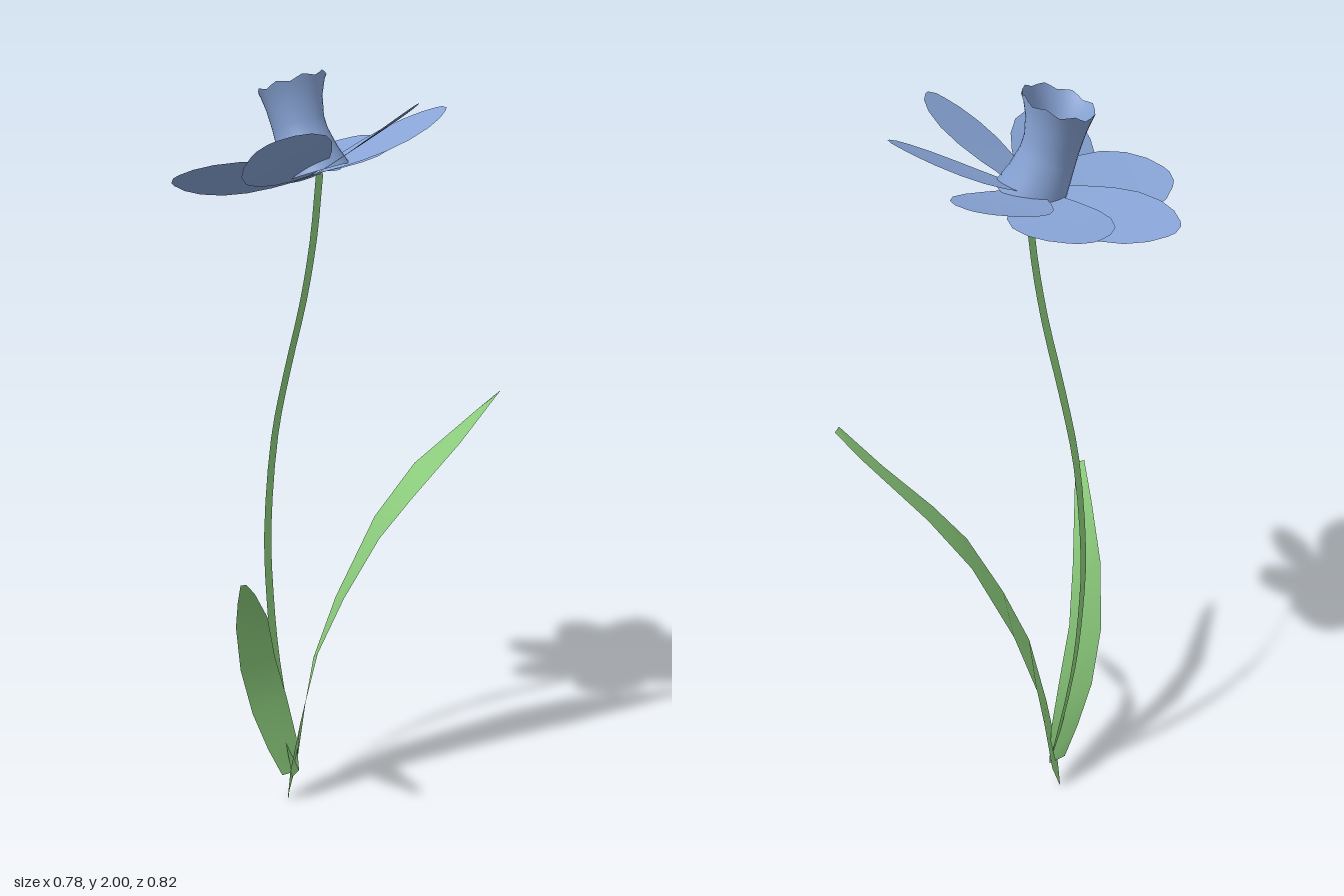
import * as THREE from 'three';

const green = new THREE.MeshStandardMaterial({ color: 0x8fd07f, side: THREE.DoubleSide });
green.name = 'leafGreen';
const blue = new THREE.MeshStandardMaterial({ color: 0x88a4d6, side: THREE.DoubleSide });
blue.name = 'petalBlue';

// Smooth sheet through rows of points, all rows the same length
function sheet(name, rows, material) {
  const cols = rows[0].length;
  const index = [];
  for (let i = 0; i < rows.length - 1; i++) {
    for (let j = 0; j < cols - 1; j++) {
      const a = i * cols + j, b = a + cols;
      index.push(a, a + 1, b, a + 1, b + 1, b);
    }
  }
  const geo = new THREE.BufferGeometry();
  geo.setAttribute('position', new THREE.Float32BufferAttribute(rows.flat(2), 3));
  geo.setIndex(index);
  geo.computeVertexNormals();
  const mesh = new THREE.Mesh(geo, material);
  mesh.name = name;
  return mesh;
}

// Ribbon between two edge lines
const ribbon = (name, a, b) => sheet(name, a.map((p, i) => [p, b[i]]), green);

// Petal along +x: [distance, half width], cupped upward and twisted so neighbours overlap
const OUTLINE = [
  [0, 0.025], [0.05, 0.055], [0.10, 0.082], [0.16, 0.105], [0.22, 0.112],
  [0.28, 0.098], [0.325, 0.07], [0.355, 0.035], [0.365, 0.015],
];
function petal(angle) {
  const rows = OUTLINE.map(([r, w]) => [1, 0.5, 0, -0.5, -1].map((s) => {
    const z = s * w;
    return [r, 0.07 * Math.pow(r / 0.365, 1.3) - z * 0.25, z];
  }));
  const mesh = sheet('petal', rows, blue);
  mesh.rotation.y = THREE.MathUtils.degToRad(angle);
  return mesh;
}

// Flared, slightly bent tube with a scalloped rim
function trumpet() {
  const h = 0.23;
  const profile = [[0.085, 0], [0.075, 0.05], [0.068, 0.1], [0.067, 0.13], [0.073, 0.18], [0.083, 0.215], [0.088, h]]
    .map(([r, y]) => new THREE.Vector2(r, y));
  const geo = new THREE.LatheGeometry(profile, 32);
  const p = geo.attributes.position;
  for (let i = 0; i < p.count; i++) {
    const x = p.getX(i), y = p.getY(i), z = p.getZ(i);
    const wave = y > 0.22 ? 0.005 * Math.cos(8 * Math.atan2(z, x)) : 0;
    p.setXYZ(i, x - 0.014 * Math.sin(Math.PI * y / h), y + wave - 0.003, z);
  }
  const mesh = new THREE.Mesh(geo, blue);
  mesh.name = 'trumpet';
  return mesh;
}

export function createModel() {
  const model = new THREE.Group();
  model.name = 'flowerPlant';

  // Stem: a flat strip following a gentle curve
  const path = new THREE.CatmullRomCurve3([
    [-0.09, 0.08, -0.047], [-0.15, 0.4, -0.054], [-0.17, 0.6, -0.057], [-0.175, 0.78, -0.057],
    [-0.15, 1.05, -0.053], [-0.11, 1.23, -0.048], [-0.06, 1.42, -0.042], [-0.03, 1.58, -0.039], [-0.012, 1.745, -0.037],
  ].map((p) => new THREE.Vector3(...p))).getPoints(24);
  const edge = (dz) => path.map((p) => [p.x, p.y, p.z + dz]);
  model.add(ribbon('stem', edge(0.022), edge(-0.022)));

  // Tall leaf leaning back
  model.add(ribbon('tallLeaf', [
    [-0.11, 0, -0.045], [-0.09, 0.1, -0.013], [-0.06, 0.25, -0.013], [-0.015, 0.46, -0.032], [0.05, 0.62, -0.06],
    [0.135, 0.79, -0.10], [0.21, 0.90, -0.147], [0.31, 1.04, -0.225], [0.39, 1.17, -0.294],
  ], [
    [-0.12, 0, -0.06], [-0.11, 0.09, -0.10], [-0.10, 0.27, -0.14], [-0.085, 0.39, -0.157], [-0.03, 0.57, -0.185],
    [0.06, 0.80, -0.247], [0.155, 0.95, -0.297], [0.32, 1.11, -0.326], [0.385, 1.17, -0.326],
  ]));

  // Short leaf leaning forward
  model.add(ribbon('shortLeaf', [
    [-0.12, 0.08, -0.024], [-0.145, 0.17, 0.013], [-0.17, 0.29, 0.056], [-0.175, 0.44, 0.114],
    [-0.14, 0.6, 0.204], [-0.07, 0.72, 0.326], [-0.02, 0.8, 0.406],
  ], [
    [-0.09, 0.08, -0.07], [-0.088, 0.19, -0.05], [-0.095, 0.33, -0.003], [-0.10, 0.47, 0.058],
    [-0.08, 0.615, 0.14], [-0.015, 0.757, 0.34], [-0.01, 0.8, 0.395],
  ]));

  // Tilted flower head
  const head = new THREE.Group();
  head.name = 'flowerHead';
  for (const angle of [90, 38, -21, -82, -136, 176, 128]) head.add(petal(angle));
  head.add(trumpet());
  head.position.set(-0.024, 1.75, -0.047);
  head.rotation.z = THREE.MathUtils.degToRad(17.5);
  model.add(head);

  return model;
}
